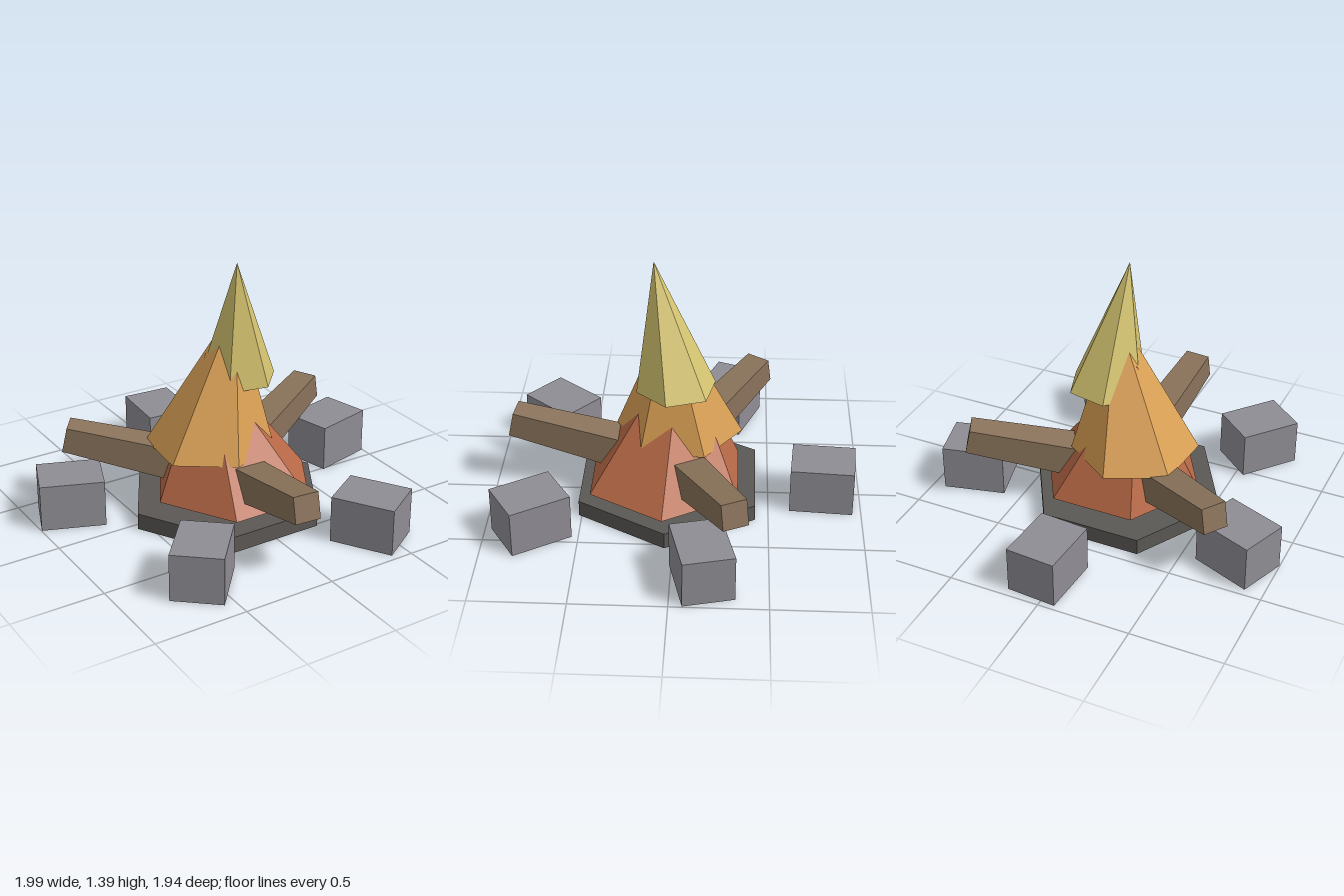
import * as THREE from 'three';

const material = (name, color) => {
  const m = new THREE.MeshStandardMaterial({ color, flatShading: true });
  m.name = name;
  return m;
};

export function createModel() {
  const stone = material('stone grey', 0x8f8d94);
  const ash = material('ash', 0x5b5854);
  const wood = material('wood', 0x89725a);
  const ember = material('ember red', 0xb96a47);
  const amber = material('amber', 0xd99f54);
  const pale = material('pale flame', 0xd5c470);

  const fire = new THREE.Group();
  fire.name = 'campfire';

  const add = (name, geometry, mat, x, y, z, turn = 0) => {
    const mesh = new THREE.Mesh(geometry, mat);
    mesh.name = name;
    mesh.position.set(x, y, z);
    mesh.rotation.y = turn;
    fire.add(mesh);
    return mesh;
  };

  // Hexagonal ash bed with two corners on the x axis
  add('ashBed', new THREE.CylinderGeometry(0.545, 0.545, 0.09, 6), ash, -0.015, 0.045, 0.043, Math.PI / 2);

  // Ring of stones: x, z, turn
  const stones = [
    [0.045, -0.793, 1.5],
    [0.797, -0.16, 0.238],
    [-0.79, -0.272, -0.372],
    [-0.553, 0.682, 0.868],
    [0.427, 0.75, -1.015],
  ];
  stones.forEach(([x, z, turn], i) =>
    add(`stone${i + 1}`, new THREE.BoxGeometry(0.34, 0.255, 0.27), stone, x, 0.1275, z, turn));

  // Three tapered square logs rising outwards from the middle
  const length = 0.877;
  const logShape = new THREE.CylinderGeometry(0.07 * Math.SQRT2, 0.097 * Math.SQRT2, length, 4)
    .rotateY(Math.PI / 4)
    .rotateZ(-Math.PI / 2)
    .translate(length / 2, 0, 0)
    .rotateZ(0.214);
  for (let i = 0; i < 3; i++) {
    const angle = THREE.MathUtils.degToRad(94.9 + i * 120);
    add(`log${i + 1}`, logShape, wood, -0.015, 0.203, 0.043, -angle);
  }

  // Leaning six-sided flame: base centre, radius, plan angle of one corner, tip
  const flame = (name, mat, [x, y, z], radius, degrees, [tx, ty, tz]) => {
    const h = ty - y;
    const g = new THREE.ConeGeometry(radius, h, 6)
      .rotateY(Math.PI / 2 - THREE.MathUtils.degToRad(degrees))
      .translate(0, h / 2, 0);
    const p = g.attributes.position;
    for (let i = 0; i < p.count; i++) {
      const t = p.getY(i) / h;
      p.setX(i, p.getX(i) + (tx - x) * t);
      p.setZ(i, p.getZ(i) + (tz - z) * t);
    }
    g.computeVertexNormals();
    add(name, g, mat, x, y, z);
  };
  flame('lowerFlame', ember, [0.02, 0.13, 0.06], 0.455, 0, [-0.1, 0.88, -0.02]);
  flame('middleFlame', amber, [-0.087, 0.367, -0.01], 0.342, 35, [0.045, 1.14, 0.04]);
  flame('upperFlame', pale, [0.077, 0.71, 0], 0.215, 12, [0.004, 1.395, 0.117]);

  return fire;
}
